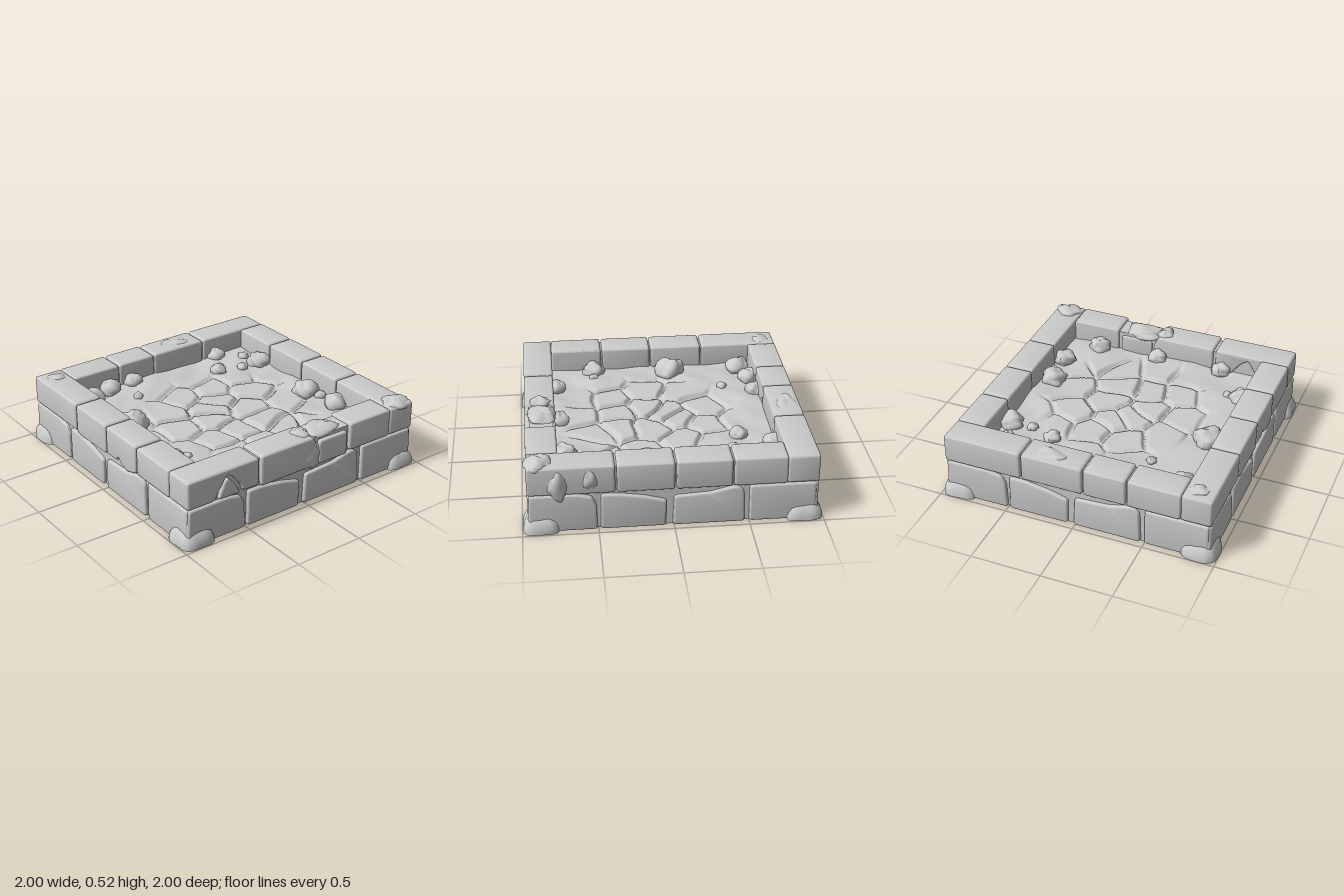
import * as THREE from 'three';
import { toCreasedNormals } from 'three/addons/utils/BufferGeometryUtils.js';

const material = new THREE.MeshStandardMaterial({ color: 0xcccccc });
const FLOOR = 0.32;

function add(parent, name, geometry) {
  const mesh = new THREE.Mesh(geometry, material);
  mesh.name = name;
  parent.add(mesh);
  return mesh;
}

// Smooth bumpy field used for rocks and floor
const bumps = (x, y, z) =>
  Math.sin(3.1 * x + 1.7 * y + 0.6) * Math.sin(2.7 * z - 1.3 * y + 1.1) +
  0.5 * Math.sin(6.3 * x - 4.1 * z) * Math.sin(5.2 * y + 3.3 * z);

// Masonry block: rounded outline extruded from zBack to zFront with soft edges
function stone(points, zBack, zFront, radius = 0.022) {
  const bevel = 0.014;
  const p = points.map(([x, y]) => new THREE.Vector2(x, y));
  const shape = new THREE.Shape();
  p.forEach((c, i) => {
    const prev = p[(i + p.length - 1) % p.length], next = p[(i + 1) % p.length];
    const toward = (q) => c.clone().lerp(q, Math.min(0.4, radius / c.distanceTo(q)));
    const a = toward(prev), b = toward(next);
    if (i === 0) shape.moveTo(a.x, a.y); else shape.lineTo(a.x, a.y);
    shape.quadraticCurveTo(c.x, c.y, b.x, b.y);
  });
  shape.closePath();
  const geo = new THREE.ExtrudeGeometry(shape, {
    depth: zFront - zBack - 2 * bevel, curveSegments: 4,
    bevelEnabled: true, bevelThickness: bevel, bevelSize: bevel, bevelOffset: -bevel, bevelSegments: 3,
  });
  geo.translate(0, 0, zBack + bevel);
  return toCreasedNormals(geo, 0.75);
}

// Irregular rounded rock; "square" pulls its plan toward a square
function rock(x, y, z, rx, ry, rz, seed, rough = 0.12, square = 0) {
  const geo = new THREE.SphereGeometry(1, 24, 16);
  const pos = geo.attributes.position, v = new THREE.Vector3();
  for (let i = 0; i < pos.count; i++) {
    v.fromBufferAttribute(pos, i);
    const h = Math.hypot(v.x, v.z), h4 = Math.pow(v.x ** 4 + v.z ** 4, 0.25);
    const k = 1 + rough * bumps(v.x * 1.3 + seed, v.y * 1.3 + seed * 2, v.z * 1.3 - seed);
    const s = h4 > 1e-4 ? 1 + square * (h / h4 - 1) : 1;
    pos.setXYZ(i, x + v.x * rx * k * s, Math.max(0, y + v.y * ry * k), z + v.z * rz * k * s);
  }
  geo.computeVertexNormals();
  return geo;
}

// Lower course of one side, as seen from outside
const lowerStones = [
  [[-0.96, 0], [-0.505, 0], [-0.51, 0.19], [-0.54, 0.25], [-0.64, 0.272], [-0.95, 0.272]],
  [[-0.485, 0], [-0.055, 0], [-0.05, 0.195], [-0.2, 0.235], [-0.37, 0.26], [-0.48, 0.262]],
  [[-0.01, 0], [0.47, 0], [0.462, 0.24], [0.42, 0.275], [0.37, 0.268], [0.24, 0.235], [0, 0.222]],
  [[0.5, 0], [0.945, 0], [0.945, 0.272], [0.5, 0.272]],
];
const block = (a, b, y0 = 0.277, y1 = 0.48) => [[a, y0], [b, y0], [b, y1], [a, y1]];

// Upper course for each side: front, right, back, left
const upperStones = [
  [block(-0.96, -0.395), [[-0.385, 0.275], [-0.35, 0.258], [-0.01, 0.262], [-0.003, 0.48], [-0.385, 0.48]],
    [[0.004, 0.272], [0.13, 0.272], [0.148, 0.308], [0.175, 0.27], [0.25, 0.242], [0.36, 0.275], [0.366, 0.48], [0.004, 0.48]],
    block(0.376, 0.75)],
  [[[-0.96, 0.28], [-0.75, 0.28], [-0.7, 0.36], [-0.65, 0.44], [-0.6, 0.41], [-0.53, 0.32], [-0.52, 0.28], [-0.395, 0.28], [-0.395, 0.48], [-0.96, 0.48]],
    [[-0.375, 0.26], [-0.02, 0.262], [0.09, 0.275], [0.1, 0.4], [0.06, 0.48], [-0.375, 0.48]],
    block(0.115, 0.36, 0.262, 0.435), block(0.385, 0.75)],
  [block(-0.96, -0.385), block(-0.375, 0.005), block(0.015, 0.385), block(0.395, 0.75)],
  [block(-0.96, -0.395), block(-0.385, 0.055), block(0.065, 0.365), block(0.375, 0.75)],
];

// Flagstone centres (x, z)
const flags = [
  [-0.3, -0.15], [-0.13, -0.38], [0.08, -0.17], [0.3, -0.16], [0.55, -0.42], [0.47, -0.22], [0.58, 0.02],
  [0.1, 0.13], [-0.04, 0.04], [-0.14, -0.07], [-0.32, 0.11], [-0.2, 0.34], [0.09, 0.4], [0.32, 0.27],
  [0.58, 0.28], [-0.57, -0.12], [-0.35, -0.42], [-0.57, 0.2], [0.12, -0.52], [-0.28, -0.63], [0.3, 0.06],
  [0.36, 0.55], [-0.22, 0.62], [0.1, 0.68], [0.4, -0.62], [-0.58, -0.5],
];

// Floor surface: grooves between flagstones, fading into packed earth near the walls
function floorGeometry() {
  const geo = new THREE.PlaneGeometry(1.54, 1.54, 150, 150).rotateX(-Math.PI / 2);
  const pos = geo.attributes.position;
  for (let i = 0; i < pos.count; i++) {
    const x = pos.getX(i), z = pos.getZ(i);
    const wx = x + 0.012 * Math.sin(z * 17), wz = z + 0.012 * Math.sin(x * 15 + 1);
    let best = 0, d1 = 9;
    flags.forEach(([fx, fz], k) => {
      const d = Math.hypot(wx - fx, wz - fz);
      if (d < d1) { d1 = d; best = k; }
    });
    let edge = 9;
    const [bx, bz] = flags[best];
    flags.forEach(([fx, fz], k) => {
      if (k === best) return;
      const dx = fx - bx, dz = fz - bz;
      edge = Math.min(edge, ((fx + bx) / 2 - wx) * dx / Math.hypot(dx, dz) + ((fz + bz) / 2 - wz) * dz / Math.hypot(dx, dz));
    });
    const earth = THREE.MathUtils.smoothstep(Math.hypot(x - 0.08, z + 0.04), 0.48, 0.7);
    const groove = 1 - THREE.MathUtils.smoothstep(edge, 0.004, 0.028);
    const tilt = 0.006 * Math.sin(best * 2.4);
    pos.setY(i, FLOOR + (1 - earth) * (tilt - 0.028 * groove) + earth * 0.012 * bumps(x * 3, 0.5, z * 3));
  }
  geo.computeVertexNormals();
  return geo;
}

// Rubble on the floor: x, z, radius
const rubble = [
  [-0.45, -0.7, 0.085], [0.16, -0.66, 0.09], [0.44, -0.7, 0.08], [-0.51, -0.36, 0.06], [-0.73, -0.5, 0.07],
  [0.7, -0.52, 0.08], [0.72, -0.05, 0.07], [-0.66, 0.66, 0.085], [-0.14, 0.65, 0.105], [0.44, 0.7, 0.08],
  [-0.73, 0.27, 0.07], [-0.72, 0.48, 0.08], [0.73, 0.45, 0.07], [-0.45, -0.54, 0.04], [-0.5, 0.37, 0.035],
  [0.27, -0.71, 0.04], [0.44, 0.6, 0.035], [-0.6, -0.66, 0.04],
];

// Worn lumps on the walls: x, y, z, rx, ry, rz
const lumps = [
  [-0.87, 0.46, -0.2, 0.08, 0.035, 0.13], [0.88, 0.465, -0.86, 0.09, 0.045, 0.1],
  [0.85, 0.46, -0.03, 0.08, 0.05, 0.06], [0.84, 0.455, -0.2, 0.1, 0.04, 0.14],
  [0.76, 0.34, -0.93, 0.07, 0.12, 0.055], [0.55, 0.38, -0.94, 0.05, 0.08, 0.04],
  [0.93, 0.33, -0.06, 0.035, 0.1, 0.09], [-0.86, 0.47, 0.84, 0.06, 0.025, 0.07],
];

export function createModel() {
  const model = new THREE.Group();
  model.name = 'stoneBasin';

  // Solid base behind the masonry joints
  add(model, 'baseCore', new THREE.BoxGeometry(1.87, 0.29, 1.87)).position.y = 0.145;
  add(model, 'flagstoneFloor', floorGeometry());

  // Four walls, each stone run turning the corner into the next
  upperStones.forEach((upper, side) => {
    const wall = new THREE.Group();
    wall.name = ['frontWall', 'leftWall', 'backWall', 'rightWall'][side];
    wall.rotation.y = side * Math.PI / 2;
    model.add(wall);
    add(wall, 'wallCore', new THREE.BoxGeometry(1.86, 0.23, 0.165)).position.set(0, 0.345, 0.848);
    lowerStones.forEach((pts) => add(wall, 'lowerStone', stone(pts, 0.72, 0.96)));
    upper.forEach((pts) => add(wall, 'upperStone', stone(pts, 0.75, 0.96)));
    add(wall, 'cornerFoot', rock(0.872, 0, 0.872, 0.125, 0.14, 0.125, side, 0.03, 1));
  });

  // Wedge stone filling the broken block
  const wedge = stone([[-0.72, 0.275], [-0.54, 0.27], [-0.57, 0.33], [-0.635, 0.41], [-0.665, 0.4]], 0.8, 0.955);
  add(model, 'wedgeStone', wedge).rotation.y = Math.PI / 2;

  rubble.forEach(([x, z, r], i) => add(model, 'rubbleRock', rock(x, FLOOR + r * 0.2, z, r, r * 0.8, r, i * 1.7, 0.14)));
  lumps.forEach((l, i) => add(model, 'wornLump', rock(...l, i * 2.3, 0.15)));
  return model;
}
